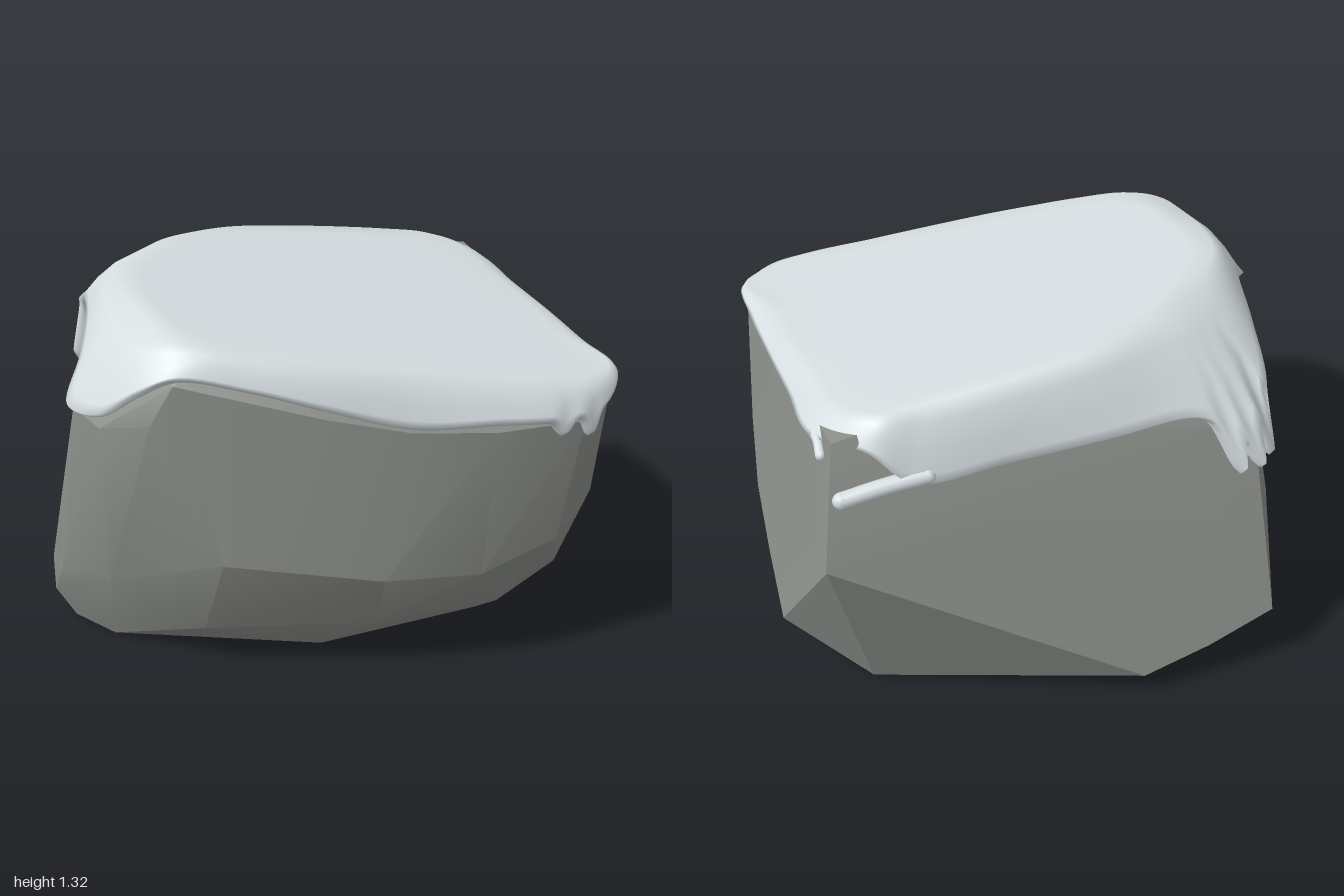
import * as THREE from 'three';
import { toCreasedNormals } from 'three/addons/utils/BufferGeometryUtils.js';
import { ConvexGeometry } from 'three/addons/geometries/ConvexGeometry.js';

const rockMat = new THREE.MeshStandardMaterial({ name: 'rock grey', color: 0x8c8f8a });
const snowMat = new THREE.MeshStandardMaterial({ name: 'snow white', color: 0xd6dee1, side: THREE.DoubleSide });

const V = (x, y, z) => new THREE.Vector3(x, y, z);

// Tilted plane of the snow's upper surface
const onTop = (x, z) => V(x, 1.218 - 0.152 * x - 0.092 * z, z);
const CENTRE = onTop(0, 0.1);

// Lower rim (x, y, z) and upper shoulder (x, z) of the snow, in matching order round the cap
const RIM = [
  [-0.94, 0.96, 0.44], [-0.85, 0.97, 0.58], [-0.72, 1.07, 0.67], [-0.6, 1.13, 0.72], [-0.35, 1.09, 0.77],
  [-0.1, 1.02, 0.8], [0.2, 0.94, 0.815], [0.5, 0.93, 0.81], [0.72, 0.92, 0.79], [0.88, 0.93, 0.73],
  [0.985, 0.99, 0.56], [0.96, 1.0, 0.35], [0.91, 1.01, 0.1], [0.845, 1.03, -0.2], [0.785, 1.05, -0.48],
  [0.6, 1.07, -0.64], [0.45, 0.95, -0.67], [0.1, 0.97, -0.625], [-0.25, 1.0, -0.58], [-0.55, 1.02, -0.53],
  [-0.76, 0.95, -0.53], [-0.83, 1.03, -0.4], [-0.83, 1.14, -0.15], [-0.84, 1.15, 0.1], [-0.88, 1.08, 0.3],
].map((p) => V(...p));
const SHOULDER = [
  [-0.68, 0.44], [-0.64, 0.55], [-0.57, 0.63], [-0.48, 0.67], [-0.3, 0.7],
  [-0.05, 0.72], [0.2, 0.72], [0.5, 0.71], [0.7, 0.7], [0.85, 0.66],
  [0.93, 0.52], [0.84, 0.3], [0.8, 0.05], [0.73, -0.2], [0.66, -0.46],
  [0.55, -0.56], [0.38, -0.56], [0.0, -0.5], [-0.25, -0.43], [-0.42, -0.33],
  [-0.52, -0.25], [-0.6, -0.15], [-0.67, -0.05], [-0.73, 0.1], [-0.72, 0.28],
].map((p) => onTop(...p));

// Drips along the rim: x, z, length, width, outward lean
const DRIPS = [
  [0.74, 0.785, 0.055, 0.028, 0], [0.845, 0.75, 0.08, 0.028, 0],
  [-0.68, -0.53, 0.2, 0.032, 0.4], [-0.76, -0.53, 0.15, 0.025, 0.4], [-0.812, -0.45, 0.22, 0.03, 0.25],
];

// Two big cleaved planes of the boulder
const sideX = (y, z) => V(Math.min(0.99, 0.72 - 0.181 * (y - 1.12) + 0.198 * (z + 0.62)), y, z);
const backZ = (x, y) => V(x, y, -0.62 + 0.326 * (y - 1.12) - 0.13 * (x - 0.72));

function buildRock() {
  const points = [
    // flat underside
    [0.62, 0, -0.58], [-0.32, 0, -0.7], [-0.69, 0, -0.3], [-0.93, 0, 0.15], [-0.8, 0, 0.32],
    [-0.07, 0, 0.53], [0.55, 0, 0.36], [0.72, 0, 0.12],
    // left face and rounded front-left corner
    [-0.84, 0.25, -0.7], [-0.78, 0.1, -0.6], [-0.77, 0.95, -0.5], [-1, 0.2, 0.05], [-1, 0.1, 0.12],
    [-0.975, 0.25, 0.23], [-0.915, 0.92, 0.35], [-0.8, 1.12, -0.15], [-0.81, 1.12, 0.12],
    [-0.82, 0.3, 0.48], [-0.84, 0.9, 0.51], [-0.68, 0.95, 0.65],
    // front face, upper to lower
    [-0.6, 1.1, 0.67], [-0.1, 0.98, 0.76], [0.2, 0.92, 0.79], [0.5, 0.9, 0.79], [0.82, 0.9, 0.74],
    [0.96, 0.95, 0.57], [-0.45, 0.45, 0.74], [0.1, 0.38, 0.815], [0.45, 0.37, 0.8], [0.74, 0.45, 0.725],
    [0.93, 0.52, 0.5], [-0.5, 0.14, 0.6], [0.1, 0.18, 0.73], [0.55, 0.18, 0.65], [0.83, 0.2, 0.42],
    [0.87, 0.1, 0.0],
  ].map((p) => V(...p));
  // outline of the right-hand cleaved face
  for (const [y, z] of [[1.12, -0.62], [0.68, -0.77], [0.17, -0.41], [0.28, -0.15], [0.4, 0.1],
    [0.6, 0.26], [0.97, 0.5], [1.01, 0.1], [1.03, -0.3]]) points.push(sideX(y, z));
  // outline of the back cleaved face
  for (const [x, y] of [[-0.35, 0.09], [-0.6, 0.16], [-0.72, 0.95], [-0.5, 1.04], [0.1, 1.04], [0.5, 1.08]]) {
    points.push(backZ(x, y));
  }
  // top hidden beneath the snow
  for (const p of SHOULDER) points.push(p.clone().lerp(CENTRE, 0.1).add(V(0, -0.05, 0)));
  return new THREE.Mesh(toCreasedNormals(new ConvexGeometry(points), 0.42), rockMat);
}

// Moves a point horizontally away from the centre and vertically
function shift(p, out, up) {
  const d = V(p.x, 0, p.z).normalize().multiplyScalar(out);
  return p.clone().add(d).add(V(0, up, 0));
}

// Snow sheet: closed rings lofted from the tucked lip to the middle of the top
function buildSnowCap() {
  const N = 480;
  const between = (t, out, up) => RIM.map((p, i) => shift(p.clone().lerp(SHOULDER[i], t), out, up));
  const rings = [
    between(0, -0.09, 0.035), between(0, -0.02, -0.003), between(0, 0.002, 0.012), between(0.12, 0.005, 0.01),
    between(0.4, 0.015, 0.015), between(0.75, 0.015, 0.012), between(1, 0, 0),
    ...[0.12, 0.45, 0.8].map((t) => SHOULDER.map((p) => p.clone().lerp(CENTRE, t))),
  ];
  const curves = rings.map((ring) => new THREE.CatmullRomCurve3(ring, true, 'centripetal'));
  const dripWeight = [1, 1, 0.93, 0.4];
  const pos = [];
  const index = [];
  curves.forEach((curve, r) => {
    for (let i = 0; i < N; i++) {
      let p = curve.getPoint(i / N);
      if (r < dripWeight.length) {
        const lip = curves[2].getPoint(i / N);
        for (const [x, z, length, width, lean] of DRIPS) {
          const d = Math.hypot(lip.x - x, lip.z - z) / width;
          const drop = length * dripWeight[r] * Math.exp(-d * d);
          p = shift(p, drop * lean, -drop);
        }
      }
      pos.push(...p.toArray());
      if (r === 0) continue;
      const j = (i + 1) % N;
      const a = (r - 1) * N;
      const b = r * N;
      index.push(a + i, a + j, b + j, a + i, b + j, b + i);
    }
  });
  const last = (rings.length - 1) * N;
  pos.push(...CENTRE.toArray());
  for (let i = 0; i < N; i++) index.push(last + i, last + ((i + 1) % N), last + N);
  const geo = new THREE.BufferGeometry();
  geo.setAttribute('position', new THREE.Float32BufferAttribute(pos, 3));
  geo.setIndex(index);
  geo.computeVertexNormals();
  return new THREE.Mesh(geo, snowMat);
}

// Thin ridge of snow clinging to a face
function buildRidge(points, radius) {
  const group = new THREE.Group();
  const curve = new THREE.CatmullRomCurve3(points);
  group.add(new THREE.Mesh(new THREE.TubeGeometry(curve, 16, radius, 10), snowMat));
  for (const p of [points[0], points[points.length - 1]]) {
    const end = new THREE.Mesh(new THREE.SphereGeometry(radius, 10, 8), snowMat);
    end.position.copy(p);
    group.add(end);
  }
  return group;
}

export function createModel() {
  const model = new THREE.Group();
  model.name = 'snowyBoulder';
  const add = (name, object) => {
    object.name = name;
    model.add(object);
  };
  add('boulder', buildRock());
  add('snowCap', buildSnowCap());

  // ridges reaching past the cap on the back and right faces
  add('backSnowRidge', buildRidge([V(0.4, 0.97, -0.645), V(0.56, 0.95, -0.665), V(0.7, 0.925, -0.685)], 0.032));
  add('sideSnowRidge', buildRidge([V(0.79, 1.05, -0.4), V(0.76, 1.055, -0.5), V(0.755, 1.03, -0.56)], 0.02));
  return model;
}
